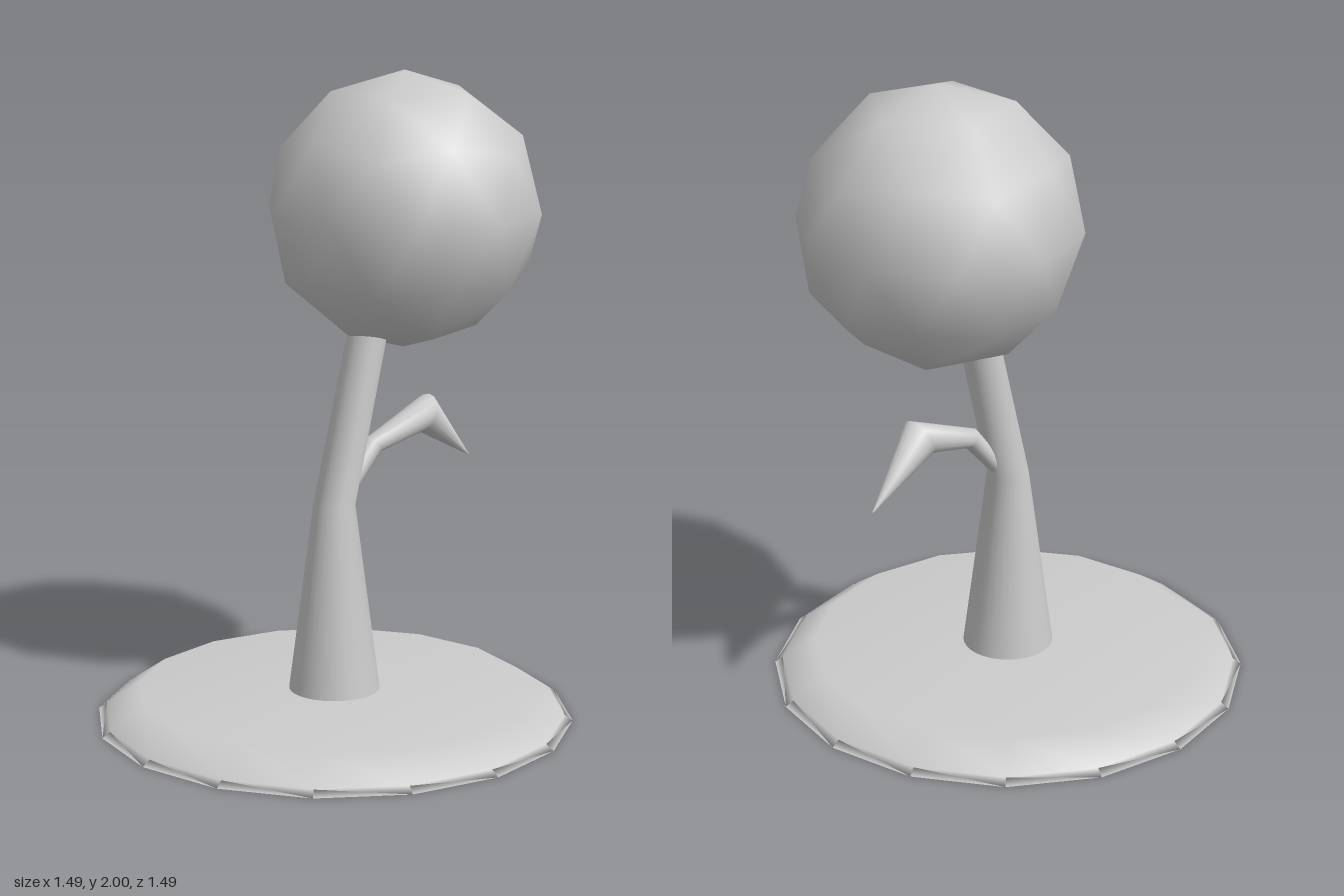
import * as THREE from 'three';

const material = new THREE.MeshStandardMaterial({ color: 0xcccccc });

// Round limb lofted through cross-sections. Each section gives two opposite
// outline points [x1, y1, x2, y2, z]; the circle between them is square to z.
function limbGeometry(sections, sides) {
  const positions = [];
  const index = [];
  sections.forEach(([x1, y1, x2, y2, z = 0], i) => {
    const ux = (x2 - x1) / 2;
    const uy = (y2 - y1) / 2;
    const r = Math.hypot(ux, uy);
    for (let j = 0; j < sides; j++) {
      const t = (j / sides) * Math.PI * 2;
      positions.push((x1 + x2) / 2 + ux * Math.cos(t), (y1 + y2) / 2 + uy * Math.cos(t), z + r * Math.sin(t));
      if (i === 0) continue;
      const k = (j + 1) % sides;
      const a = (i - 1) * sides;
      const b = i * sides;
      index.push(a + j, b + j, a + k, b + j, b + k, a + k);
    }
  });
  const geometry = new THREE.BufferGeometry();
  geometry.setAttribute('position', new THREE.Float32BufferAttribute(positions, 3));
  geometry.setIndex(index);
  geometry.computeVertexNormals();
  return geometry;
}

export function createModel() {
  const group = new THREE.Group();
  const add = (name, geometry) => {
    const mesh = new THREE.Mesh(geometry, material);
    mesh.name = name;
    group.add(mesh);
    return mesh;
  };

  // Sixteen-sided ground disc with a bevelled rim
  const profile = [[0, 0], [0.745, 0], [0.72, 0.018], [0.615, 0.09], [0, 0.09]];
  add('groundDisc', new THREE.LatheGeometry(profile.map(([x, y]) => new THREE.Vector2(x, y)), 16));

  // Tapered trunk that leans to its left above the fork
  add('trunk', limbGeometry([
    [-0.143, 0.08, 0.143, 0.08],
    [-0.065, 0.68, 0.065, 0.68],
    [0.096, 1.3, 0.22, 1.3],
  ], 32));

  // Side branch that swells, then droops to a point
  add('branch', limbGeometry([
    [0.0, 0.7, 0.02, 0.65],
    [0.03, 0.73, 0.055, 0.685],
    [0.14, 0.87, 0.18, 0.82],
    [0.392, 0.973, 0.345, 0.86],
    [0.581, 0.747, 0.579, 0.743, -0.02],
  ], 16));

  // Low-poly crown, turned so that a vertex points straight up
  const crown = new THREE.IcosahedronGeometry(0.43, 1);
  crown.rotateZ(-Math.atan(2 / (1 + Math.sqrt(5))));
  add('crown', crown).position.set(0.28, 1.57, 0);

  return group;
}
